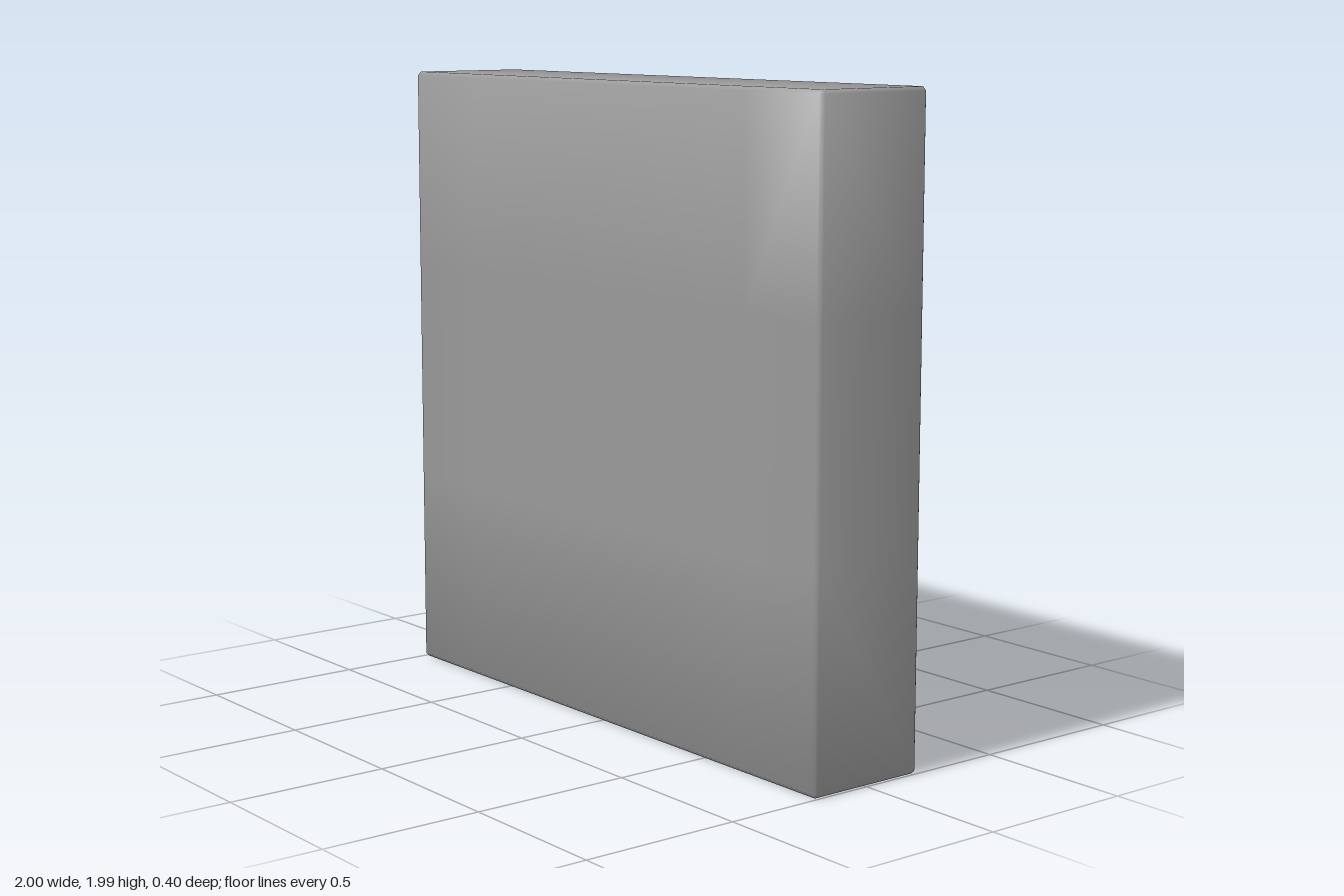
import * as THREE from 'three';

const BEVEL = 0.012;     // chamfer on every edge
const LO = [-1, 0, -0.2], HI = [1, 1.985, 0.2];
const HOLE_LO = [-0.673, 0.65, -0.2], HOLE_HI = [0.673, 1.335, 0.15];

// Chamfer rule: a vertex on k planes of a box moves inward along each of them
function chamfer(p, lo, hi) {
  const on = [0, 1, 2].filter(a => p[a] === lo[a] || p[a] === hi[a]);
  const q = [...p];
  for (const a of on) q[a] += (p[a] === lo[a] ? 1 : -1) * BEVEL * (on.length - 1) / on.length;
  return q;
}

const chamferSlab = p => chamfer(p, LO, HI);

// The recess is chamfered like a box, but its rim flares out to the back face
function chamferHole(p) {
  if (p[2] === HOLE_LO[2]) {
    return p.map((v, a) => a === 2 ? v
      : v < (HOLE_LO[a] + HOLE_HI[a]) / 2 ? HOLE_LO[a] - BEVEL : HOLE_HI[a] + BEVEL);
  }
  // Just inside the rim only the upright corners count
  return chamfer(p, HOLE_LO, HOLE_HI);
}

// Collects quads with shared vertices, so the shading runs smoothly over the edges
function createShell() {
  const index = [], positions = [], normals = [], ids = new Map();
  const vertex = p => {
    const key = p.map(v => v.toFixed(4)).join();
    if (!ids.has(key)) {
      ids.set(key, positions.length);
      positions.push(new THREE.Vector3(...p));
      normals.push(new THREE.Vector3());
    }
    return ids.get(key);
  };
  const quad = corners => {
    const [a, b, c, d] = corners.map(vertex);
    const n = positions[c].clone().sub(positions[a])
      .cross(positions[d].clone().sub(positions[b])).normalize();
    for (const i of new Set([a, b, c, d])) normals[i].add(n);
    for (const t of [[a, b, c], [a, c, d]]) if (new Set(t).size === 3) index.push(...t);
  };
  // All six gridded sides of a box; inward turns the faces round
  const box = (grid, shape, inward, skip) => {
    for (let a = 0; a < 3; a++) for (const far of [false, true]) {
      const b = (a + 1) % 3, c = (a + 2) % 3;
      const at = (i, j) => {
        const p = [];
        p[a] = far ? grid[a].at(-1) : grid[a][0];
        p[b] = grid[b][i];
        p[c] = grid[c][j];
        return shape(p);
      };
      for (let i = 0; i < grid[b].length - 1; i++) for (let j = 0; j < grid[c].length - 1; j++) {
        if (skip(a, far, i, j)) continue;
        const corners = [at(i, j), at(i + 1, j), at(i + 1, j + 1), at(i, j + 1)];
        quad(far !== inward ? corners : corners.reverse());
      }
    }
  };
  const build = () => {
    const g = new THREE.BufferGeometry().setFromPoints(positions);
    const flat = normals.flatMap(n => n.normalize().toArray());
    g.setAttribute('normal', new THREE.Float32BufferAttribute(flat, 3));
    g.setIndex(index);
    return g;
  };
  return { box, build };
}

export function createModel() {
  const group = new THREE.Group();
  group.name = 'recessedSlab';
  const shell = createShell();

  // Outer slab, with the middle cell of the back left open
  const outer = [0, 1, 2].map(a => [
    LO[a], LO[a] + BEVEL,
    ...(a < 2 ? [HOLE_LO[a] - BEVEL, HOLE_HI[a] + BEVEL] : []),
    HI[a] - BEVEL, HI[a],
  ]);
  shell.box(outer, chamferSlab, false, (a, far, i, j) => a === 2 && !far && i === 2 && j === 2);

  // Walls, floor and flared rim of the recess, open to the back
  const hole = [0, 1, 2].map(a => [
    HOLE_LO[a], HOLE_LO[a] + BEVEL, HOLE_HI[a] - BEVEL, HOLE_HI[a],
  ]);
  shell.box(hole, chamferHole, true, (a, far) => a === 2 && !far);

  const slab = new THREE.Mesh(shell.build(), new THREE.MeshStandardMaterial({ color: 0x999999 }));
  slab.name = 'slab';
  group.add(slab);
  return group;
}
